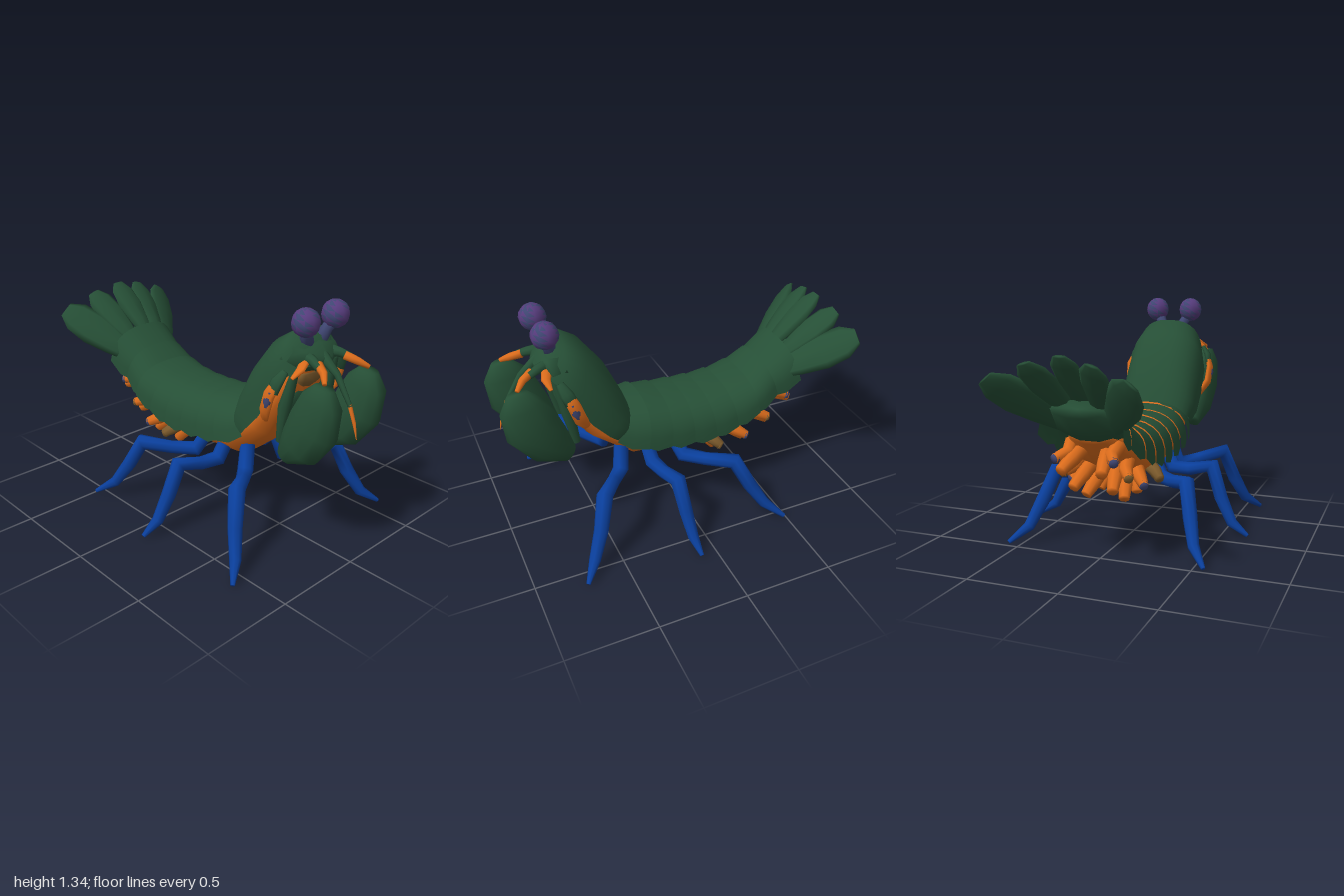
import * as THREE from 'three';

const mat = (name, color, side = THREE.FrontSide) => {
  const m = new THREE.MeshStandardMaterial({ color, side });
  m.name = name;
  return m;
};
const V = (p) => new THREE.Vector3(...p);

// Skin a list of equal-length rings; closed rings also get end caps
function loft(rings, closed) {
  const n = rings[0].length, pos = [], idx = [];
  rings.forEach((r) => r.forEach((p) => pos.push(p.x, p.y, p.z)));
  for (let i = 0; i < rings.length - 1; i++) {
    for (let j = 0; j < (closed ? n : n - 1); j++) {
      const a = i * n + j, b = i * n + (j + 1) % n;
      idx.push(a, b, a + n, b, b + n, a + n);
    }
  }
  if (closed) {
    [0, rings.length - 1].forEach((ri) => {
      const c = new THREE.Vector3();
      rings[ri].forEach((p) => c.addScaledVector(p, 1 / n));
      const k = pos.length / 3;
      pos.push(c.x, c.y, c.z);
      for (let j = 0; j < n; j++) {
        const a = ri * n + j, b = ri * n + (j + 1) % n;
        if (ri === 0) idx.push(k, b, a); else idx.push(k, a, b);
      }
    });
  }
  const g = new THREE.BufferGeometry();
  g.setAttribute('position', new THREE.Float32BufferAttribute(pos, 3));
  g.setIndex(idx);
  g.computeVertexNormals();
  return g;
}

// Elliptical tube through points: w = half widths along ref, t = half thicknesses
function limb(points, w, t = w, ref = [1, 0, 0], sides = 8) {
  const P = points.map(V);
  return loft(P.map((c, i) => {
    const d = P[Math.min(i + 1, P.length - 1)].clone().sub(P[Math.max(i - 1, 0)]).normalize();
    const r = V(ref), u = r.addScaledVector(d, -r.dot(d)).normalize();
    const v = d.clone().cross(u);
    return Array.from({ length: sides }, (_, j) => {
      const a = j / sides * Math.PI * 2;
      return c.clone().addScaledVector(u, w[i] * Math.cos(a)).addScaledVector(v, t[i] * Math.sin(a));
    });
  }), true);
}

// Arched shell ring from rim (z, y) to crown (z, y) with half width rx
function arch([zb, yb, zt, yt, rx], s = 1, n = 14) {
  return Array.from({ length: n + 1 }, (_, j) => {
    const a = Math.PI * j / n, c = Math.cos(a), h = Math.pow(Math.sin(a) + 1e-9, 0.75) * s;
    return new THREE.Vector3(-Math.sign(c) * Math.pow(Math.abs(c), 0.8) * rx * s, yb + (yt - yb) * h, zb + (zt - zb) * h);
  });
}

export function createModel() {
  const root = new THREE.Group();
  root.name = 'mantisShrimp';
  const green = mat('shellGreen', 0x264f36, THREE.DoubleSide);
  const orange = mat('bellyOrange', 0xdb6c1c);
  const blue = mat('legBlue', 0x0a3f9c);
  const purple = mat('eyePurple', 0x563c7c);
  const slate = mat('stalkSlate', 0x3f4672);
  const brown = mat('mottledBrown', 0x7c5a2c);
  const add = (name, geo, m) => {
    const mesh = new THREE.Mesh(geo, m);
    mesh.name = name;
    root.add(mesh);
    return mesh;
  };

  // Soft belly running from the face to the tail
  add('belly', limb(
    [[0, 1.04, 0.66], [0, 0.86, 0.58], [0, 0.67, 0.44], [0, 0.535, 0.24], [0, 0.51, 0], [0, 0.52, -0.24], [0, 0.595, -0.44], [0, 0.69, -0.6]],
    [0.11, 0.17, 0.2, 0.2, 0.2, 0.2, 0.18, 0.13],
    [0.05, 0.08, 0.125, 0.155, 0.145, 0.135, 0.1, 0.055], [1, 0, 0], 14), orange);
  add('chestPlate', limb([[0, 0.9, 0.64], [0, 0.84, 0.635], [0, 0.76, 0.605], [0, 0.69, 0.56]], [0.08, 0.15, 0.12, 0.05], [0.02, 0.04, 0.045, 0.02]), green);
  add('throat', limb([[0, 0.98, 0.685], [0, 0.94, 0.67], [0, 0.9, 0.65]], [0.09, 0.1, 0.06], [0.02, 0.03, 0.02]), brown);

  // Head shield, closed to a snout at the front
  add('carapace', loft([
    [0.76, 1.05, 0.755, 1.06, 0.02], [0.74, 1.04, 0.70, 1.165, 0.12], [0.69, 1.0, 0.62, 1.2, 0.2],
    [0.63, 0.89, 0.51, 1.13, 0.235], [0.54, 0.75, 0.39, 0.97, 0.24], [0.45, 0.65, 0.31, 0.8, 0.24],
    [0.40, 0.6, 0.27, 0.69, 0.22]].map((r) => arch(r)), false), green);
  add('face', limb([[0, 1.08, 0.64], [0, 1.06, 0.71], [0, 1.05, 0.77]], [0.2, 0.17, 0.05], [0.09, 0.08, 0.03]), green);
  add('rostrum', limb([[0, 1.08, 0.74], [0, 1.0, 0.84], [0, 0.86, 0.93]], [0.03, 0.018, 0.011]), green);
  add('rostrumTip', limb([[0, 0.87, 0.925], [0, 0.78, 0.96], [0, 0.7, 0.98]], [0.011, 0.009, 0.002]), orange);

  // Overlapping back plates: rim z, rim y, crown z, crown y, half width
  const stations = [
    [0.40, 0.58, 0.31, 0.73, 0.22], [0.25, 0.52, 0.21, 0.735, 0.25], [0.11, 0.495, 0.09, 0.715, 0.255],
    [-0.03, 0.48, -0.03, 0.705, 0.255], [-0.17, 0.475, -0.15, 0.70, 0.255], [-0.31, 0.50, -0.28, 0.705, 0.25],
    [-0.45, 0.55, -0.42, 0.73, 0.245], [-0.58, 0.62, -0.53, 0.80, 0.215], [-0.72, 0.69, -0.66, 0.89, 0.225]];
  const mix = (a, b, k) => a.map((v, i) => v + (b[i] - v) * k);
  for (let i = 0; i < stations.length - 1; i++) {
    const [a, b] = [stations[i], stations[i + 1]];
    const mid = mix(a, b, 0.5);
    mid[1] -= 0.025;
    add('backPlate', loft([arch(a, 0.96), arch(mid), arch(mix(a, b, 1.12), 1.01)], false), green);
  }

  // Tail root and fan
  add('tailRoot', limb([[0, 0.68, -0.5], [0, 0.76, -0.64], [0, 0.84, -0.76]], [0.16, 0.19, 0.15], [0.08, 0.085, 0.05], [1, 0, 0], 10), green);
  const petal = (name, base, tip, size, tilt) => {
    add(name, limb([0, 0.3, 0.6, 0.85, 1].map((k) => mix(base, tip, k)),
      [0.04, 0.07, 0.09, 0.08, 0.04].map((v) => v * size),
      [0.025, 0.035, 0.035, 0.025, 0.01], [1, tilt, 0]), green);
  };
  petal('tailCentre', [0, 0.83, -0.64], [0, 1.11, -0.94], 0.9, 0);

  // Mottled eyeball: irregular slate facets over purple
  const eyeGeo = new THREE.SphereGeometry(0.073, 10, 8);
  eyeGeo.clearGroups();
  for (let f = 0; f < eyeGeo.index.count / 3; f++) eyeGeo.addGroup(f * 3, 3, (f * 7 + (f >> 3)) % 11 < 4 ? 1 : 0);

  for (const s of [1, -1]) {
    const m = ([x, y, z]) => [x * s, y, z];
    petal('tailInner', m([0.09, 0.8, -0.65]), m([0.17, 1.075, -0.965]), 0.95, -0.3 * s);
    petal('tailOuter', m([0.12, 0.73, -0.62]), m([0.365, 1.0, -0.985]), 1.2, -0.7 * s);

    // Stalked eyes
    const eye = add('eye', eyeGeo, [purple, slate]);
    eye.position.set(0.11 * s, 1.262, 0.72);
    add('eyeStalk', limb([[0.055, 1.14, 0.68], [0.075, 1.19, 0.7], [0.1, 1.23, 0.715]].map(m), [0.04, 0.03, 0.035]), slate);

    // Feelers reaching over the claws
    add('feelerBase', limb([[0.08, 1.08, 0.7], [0.1, 1.075, 0.77], [0.12, 1.06, 0.82]].map(m), [0.035, 0.025, 0.02]), green);
    add('feelerTip', limb([[0.1, 1.068, 0.8], [0.13, 1.045, 0.86], [0.17, 1.015, 0.9]].map(m), [0.024, 0.02, 0.012]), orange);
    add('browFlap', limb([[0.1, 1.07, 0.72], [0.17, 1.045, 0.75], [0.22, 1.01, 0.74]].map(m), [0.03, 0.025, 0.01], [0.015, 0.014, 0.008], [0, 0, 1]), orange);

    // Raptorial claw with its folded finger
    add('claw', limb([[0.17, 1.0, 0.9], [0.172, 0.925, 0.89], [0.17, 0.79, 0.85], [0.16, 0.655, 0.765], [0.152, 0.555, 0.66]].map(m),
      [0.04, 0.073, 0.085, 0.08, 0.045], [0.055, 0.115, 0.145, 0.125, 0.055], [1, 0, 0], 12), green);
    add('clawFinger', limb([[0.15, 1.02, 0.7], [0.16, 0.82, 0.65], [0.15, 0.61, 0.61]].map(m), [0.02, 0.035, 0.015], [0.02, 0.035, 0.02]), green);

    // Upper arm: orange below, slate on the outside, green at the shoulder
    add('upperArm', limb([[0.22, 0.75, 0.57], [0.262, 0.82, 0.61], [0.268, 0.91, 0.64], [0.25, 0.96, 0.66]].map(m),
      [0.015, 0.02, 0.02, 0.015], [0.025, 0.035, 0.035, 0.03]), orange);
    add('armShoulder', limb([[0.255, 0.93, 0.65], [0.245, 0.98, 0.67], [0.21, 1.03, 0.69]].map(m), [0.018, 0.02, 0.012], [0.036, 0.035, 0.02]), green);
    add('armPatch', limb([[0.27, 0.83, 0.62], [0.277, 0.88, 0.637], [0.272, 0.93, 0.65]].map(m), [0.009, 0.014, 0.008], [0.012, 0.024, 0.012]), slate);

    // Walking legs: hip, elbow, knee, shin, ankle, foot
    [
      [[0.1, 0.52, 0.34], [0.15, 0.345, 0.37], [0.25, 0.355, 0.45], [0.39, 0.395, 0.55], [0.45, 0.22, 0.6], [0.51, 0.08, 0.665], [0.595, 0.01, 0.735]],
      [[0.13, 0.46, 0.2], [0.18, 0.36, 0.185], [0.29, 0.36, 0.165], [0.43, 0.395, 0.14], [0.49, 0.22, 0.12], [0.56, 0.08, 0.105], [0.655, 0.015, 0.095]],
      [[0.11, 0.45, 0.03], [0.17, 0.345, -0.01], [0.27, 0.35, -0.11], [0.39, 0.38, -0.23], [0.435, 0.22, -0.31], [0.48, 0.09, -0.39], [0.56, 0.015, -0.485]],
    ].forEach((p, i) => add('walkingLeg', limb(p.map(m), [0.04, 0.045, 0.038, 0.046, 0.04, 0.032, 0.012], undefined, [[-0.6, 0.1, 0.7][i] * s, 0, 1]), blue));

    // Swimmerets under the abdomen: an inner and an outer row, with slate tips
    [[-0.15, 0.43, 0.12, 0.09], [-0.3, 0.43, 0.11, 0.13], [-0.43, 0.5, 0.1, 0.16], [-0.55, 0.6, 0.08, 0.18]].forEach(([z, y, drop, back], i) => {
      add('swimmeretInner', limb([[0.07, y, z], [0.09, y - drop * 0.5, z - back * 0.5], [0.11, y - drop, z - back]].map(m), [0.04, 0.04, 0.03]), orange);
      const out = 0.235 - i * 0.025;
      add('swimmeretOuter', limb([[0.13, y + 0.03, z], [out - 0.04, y - 0.01, z - back * 0.4], [out, y - drop * 0.35, z - back * 0.8]].map(m), [0.04, 0.036, 0.026]), i === 0 ? brown : orange);
      add('swimmeretTip', limb([[out - 0.005, y - drop * 0.33, z - back * 0.74], [out + 0.003, y - drop * 0.38, z - back * 0.84]].map(m), [0.029, 0.022]), i % 2 ? slate : brown);
    });
  }
  return root;
}
